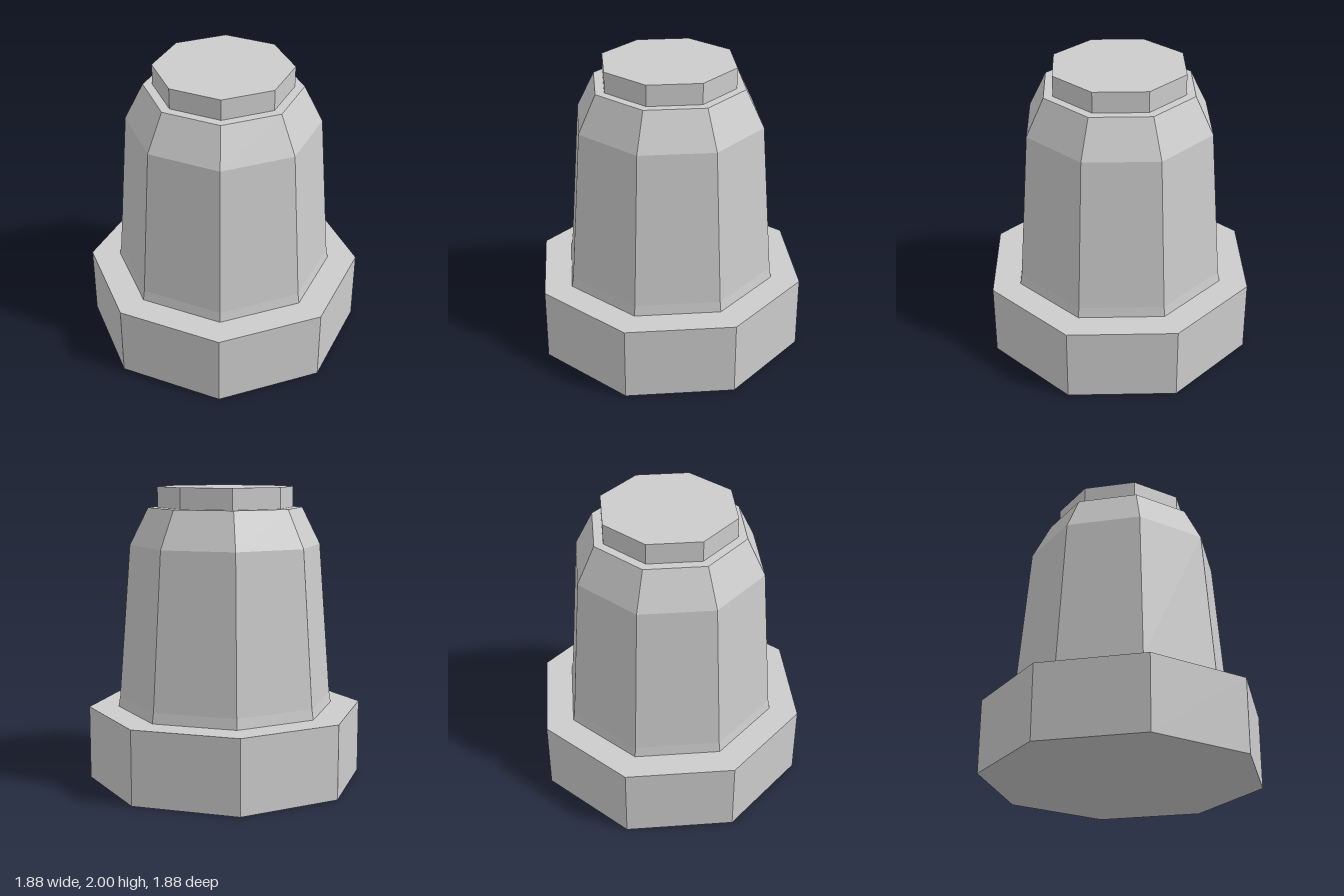
import * as THREE from 'three';

export function createModel() {
  const model = new THREE.Group();
  const grey = new THREE.MeshStandardMaterial({ color: 0xcccccc, flatShading: true });
  grey.name = 'grey';

  // Eight-sided section between two heights, with corners on the x and z axes
  function section(name, rBottom, rTop, y0, y1, open = false) {
    const geometry = new THREE.CylinderGeometry(rTop, rBottom, y1 - y0, 8, 1, open);
    const mesh = new THREE.Mesh(geometry, grey);
    mesh.name = name;
    mesh.position.y = (y0 + y1) / 2;
    return mesh;
  }

  // Wide base flange
  model.add(section('base', 0.94, 0.94, 0, 0.5));

  // Tapered body: slight foot flare, long wall, sloping shoulder with a flat top
  const body = new THREE.Group();
  body.name = 'body';
  body.add(
    section('foot', 0.741, 0.729, 0.5, 0.57, true),
    section('wall', 0.729, 0.648, 0.57, 1.61, true),
    section('shoulder', 0.648, 0.523, 1.61, 1.86),
  );
  model.add(body);

  // Low cap on top
  model.add(section('cap', 0.46, 0.46, 1.86, 2));

  return model;
}
